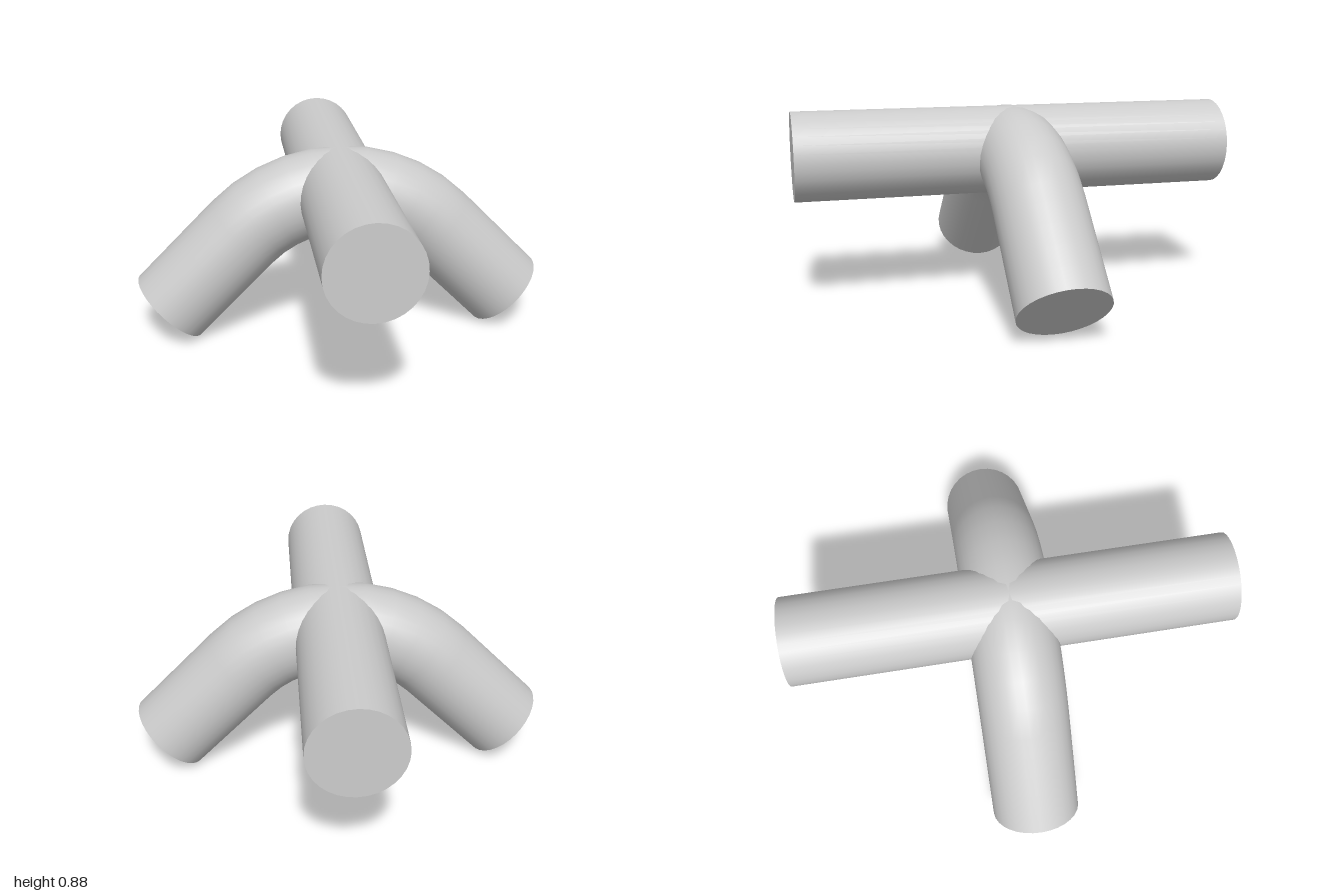
import * as THREE from 'three';

const RADIUS = 0.2;
const LENGTH = 2;
const AXIS_Y = 0.682;            // height of both bars where they cross
const BEND_RADIUS = 2 / Math.PI; // quarter-turn bend of arc length 1
const HALF_ARC = 0.5;

const material = new THREE.MeshStandardMaterial({ color: 0xcccccc });

function addMesh(group, name, geometry) {
  const mesh = new THREE.Mesh(geometry, material);
  mesh.name = name;
  mesh.position.y = AXIS_Y;
  group.add(mesh);
}

// Bends a bar lying along x downwards: an arc in the middle, straight ends
function bend(geometry) {
  const pos = geometry.attributes.position;
  const nor = geometry.attributes.normal;
  const zAxis = new THREE.Vector3(0, 0, 1);
  const p = new THREE.Vector3();
  const n = new THREE.Vector3();
  for (let i = 0; i < pos.count; i++) {
    p.fromBufferAttribute(pos, i);
    n.fromBufferAttribute(nor, i);
    const onArc = THREE.MathUtils.clamp(p.x, -HALF_ARC, HALF_ARC);
    const straight = p.x - onArc;
    const angle = onArc / BEND_RADIUS;
    const r = BEND_RADIUS + p.y;
    pos.setXYZ(i,
      r * Math.sin(angle) + straight * Math.cos(angle),
      r * Math.cos(angle) - BEND_RADIUS - straight * Math.sin(angle),
      p.z);
    n.applyAxisAngle(zAxis, -angle);
    nor.setXYZ(i, n.x, n.y, n.z);
  }
  return geometry;
}

export function createModel() {
  const group = new THREE.Group();
  group.name = 'crossedBars';

  // Straight bar from front to back
  const straight = new THREE.CylinderGeometry(RADIUS, RADIUS, LENGTH, 32);
  addMesh(group, 'straightBar', straight.rotateX(Math.PI / 2));

  // Bent bar from side to side
  const bent = new THREE.CylinderGeometry(RADIUS, RADIUS, LENGTH, 32, 20);
  addMesh(group, 'bentBar', bend(bent.rotateZ(-Math.PI / 2)));

  return group;
}
